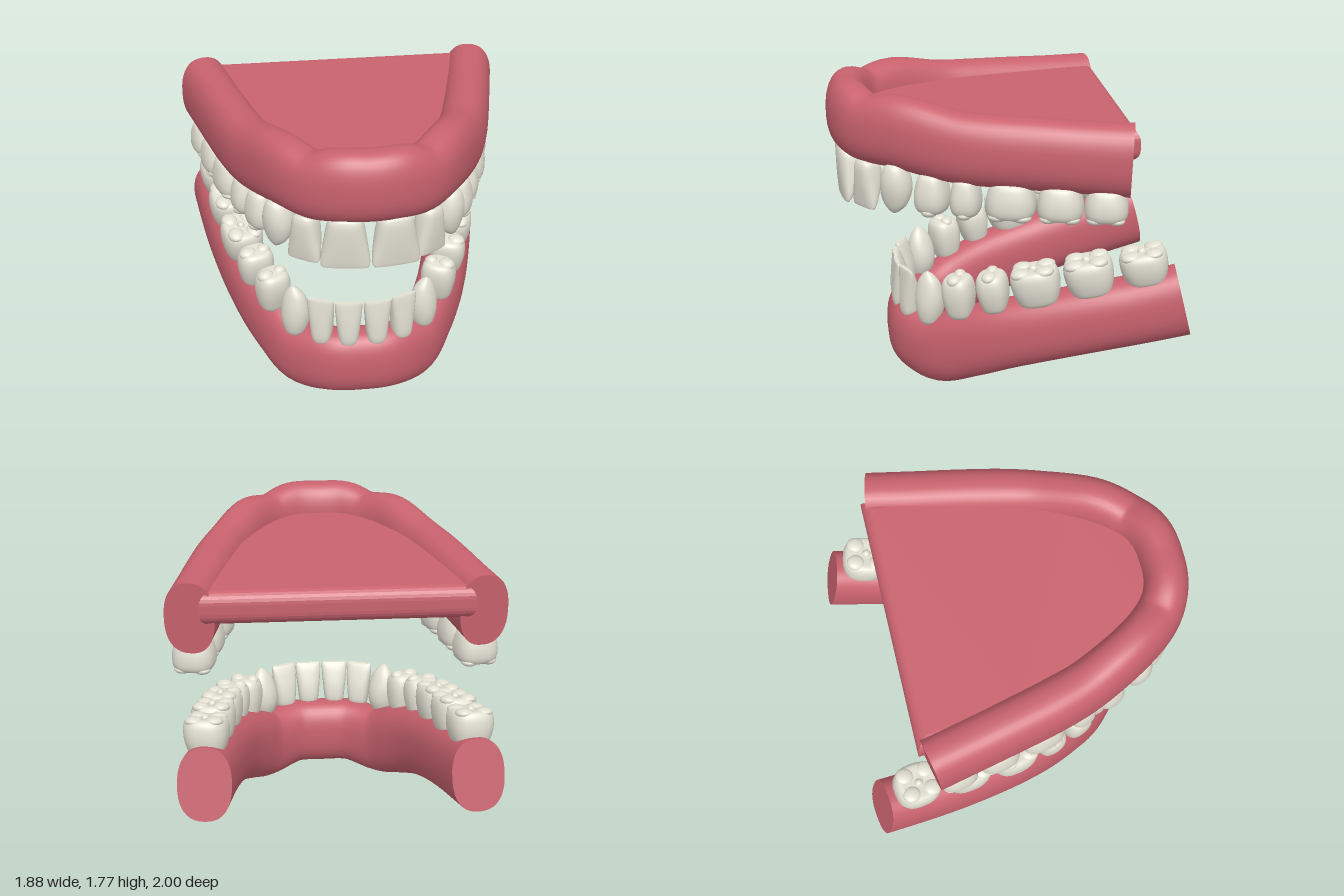
import * as THREE from 'three';

const gumMat = new THREE.MeshStandardMaterial({ color: 0xc8626e });
const toothMat = new THREE.MeshStandardMaterial({ color: 0xe2dfd2 });

// Skin over closed rings of points, with flat caps at both ends
function loft(rings) {
  const n = rings[0].length, pos = [], idx = [];
  rings.forEach(r => r.forEach(p => pos.push(p.x, p.y, p.z)));
  for (let i = 0; i < rings.length - 1; i++) {
    for (let j = 0; j < n; j++) {
      const a = i * n + j, b = i * n + (j + 1) % n;
      idx.push(a, b, a + n, b, b + n, a + n);
    }
  }
  [rings[0], rings[rings.length - 1]].forEach((r, end) => {
    const c = pos.length / 3;
    const mid = r.reduce((s, p) => s.add(p), new THREE.Vector3()).divideScalar(n);
    [mid, ...r].forEach(p => pos.push(p.x, p.y, p.z));
    for (let j = 0; j < n; j++) {
      const a = c + 1 + j, b = c + 1 + (j + 1) % n;
      if (end) idx.push(c, a, b); else idx.push(c, b, a);
    }
  });
  const g = new THREE.BufferGeometry();
  g.setAttribute('position', new THREE.Float32BufferAttribute(pos, 3));
  g.setIndex(idx);
  g.computeVertexNormals();
  return g;
}

// Point on a unit superellipse
function superellipse(a, e) {
  const c = Math.cos(a), s = Math.sin(a);
  return [Math.sign(c) * Math.abs(c) ** (2 / e), Math.sign(s) * Math.abs(s) ** (2 / e)];
}

// Horseshoe gum: half path as [x, y, z, half width, half height], mirrored
function gum(name, half) {
  const full = [...half.slice(1).reverse().map(([x, ...r]) => [-x, ...r]), ...half];
  const path = new THREE.CatmullRomCurve3(full.map(p => new THREE.Vector3(p[0], p[1], p[2])), false, 'catmullrom', 0.5);
  const size = new THREE.CatmullRomCurve3(full.map(p => new THREE.Vector3(p[3], p[4], 0)), false, 'catmullrom', 0.5);
  const rings = [], steps = 96, sides = 40;
  for (let i = 0; i <= steps; i++) {
    const c = path.getPoint(i / steps), t = path.getTangent(i / steps), r = size.getPoint(i / steps);
    const side = new THREE.Vector3(0, 1, 0).cross(t).normalize();
    const up = t.clone().cross(side);
    rings.push(Array.from({ length: sides }, (_, j) => {
      const [u, v] = superellipse(j / sides * Math.PI * 2, 2.4);
      return c.clone().addScaledVector(side, u * r.x).addScaledVector(up, v * r.y);
    }));
  }
  const m = new THREE.Mesh(loft(rings), gumMat);
  m.name = name;
  return m;
}

// Crown profiles from neck to biting edge: [height, width, depth]
const PROFILES = {
  incisor: [[0, .35, .4], [.06, .64, .75], [.2, .78, .98], [.5, .9, .88], [.8, 1, .58], [.95, 1, .36], [1, .93, .22]],
  canine: [[0, .4, .4], [.08, .7, .75], [.3, .95, 1], [.55, 1, .95], [.8, .78, .66], [.94, .4, .35], [1, .1, .1]],
  premolar: [[0, .6, .6], [.1, .78, .82], [.4, .97, .98], [.65, 1, 1], [.83, .9, .9], [.92, .68, .68], [.94, .3, .3]],
  molar: [[0, .65, .65], [.1, .82, .84], [.4, .97, .98], [.68, 1, 1], [.85, .93, .92], [.93, .76, .74], [.92, .3, .3]],
};
// Cusps: [x, z, radius] relative to crown width and depth
const CUSPS = {
  incisor: [], canine: [],
  premolar: [[0, .22, .25], [0, -.23, .2]],
  molar: [[-.24, .23, .2], [.24, .23, .2], [-.24, -.23, .2], [.24, -.23, .2], [0, .02, .1]],
};

// Crown grows along +y, its outer face looks along +z
function tooth(type, w, h, d) {
  const g = new THREE.Group();
  const curve = new THREE.CatmullRomCurve3(PROFILES[type].map(p => new THREE.Vector3(p[1], p[0], p[2])), false, 'catmullrom', 0.5);
  const blade = type === 'incisor' ? .3 : type === 'canine' ? .15 : 0;
  const rings = [];
  for (let i = 0; i <= 24; i++) {
    const p = curve.getPoint(i / 24), off = (1 - p.z) * d * blade;
    rings.push(Array.from({ length: 28 }, (_, j) => {
      const [u, v] = superellipse(j / 28 * Math.PI * 2, type === 'canine' ? 2.1 : 2.6);
      return new THREE.Vector3(v * p.x * w / 2, p.y * h, u * p.z * d / 2 + off);
    }));
  }
  const crown = new THREE.Mesh(loft(rings), toothMat);
  crown.name = 'crown';
  g.add(crown);
  for (const [x, z, r] of CUSPS[type]) {
    const cusp = new THREE.Mesh(new THREE.SphereGeometry(1, 18, 12), toothMat);
    cusp.name = 'cusp';
    cusp.scale.set(r * w, h * .13, r * d);
    cusp.position.set(x * w, h * .88, z * d);
    g.add(cusp);
  }
  return g;
}

// Teeth of one half arch: [type, x, neck y, z, yaw, pitch, width, height, depth]
function arch(name, rows, roll) {
  const g = new THREE.Group();
  g.name = name;
  for (const [type, x, y, z, yaw, pitch, w, h, d] of rows) {
    for (const s of [1, -1]) {
      const t = tooth(type, w, h, d);
      t.name = (s > 0 ? 'left ' : 'right ') + type;
      t.position.set(s * x, y, z);
      t.rotation.set(pitch, s * yaw, roll);
      g.add(t);
    }
  }
  return g;
}

export function createModel() {
  const model = new THREE.Group();

  // Upper jaw
  model.add(gum('upperGum', [
    [0, 1.56, .87, .125, .205], [.16, 1.56, .85, .125, .205], [.30, 1.53, .765, .13, .19],
    [.44, 1.54, .59, .13, .205], [.57, 1.49, .32, .135, .2], [.64, 1.475, .1, .14, .2],
    [.70, 1.465, -.15, .14, .2], [.75, 1.455, -.38, .14, .2], [.805, 1.445, -.635, .14, .205],
  ]));
  model.add(arch('upperTeeth', [
    ['incisor', .134, 1.38, .875, .15, 0, .265, .295, .14],
    ['incisor', .335, 1.36, .775, .6, 0, .19, .27, .14],
    ['canine', .47, 1.37, .625, .95, 0, .18, .28, .17],
    ['premolar', .535, 1.33, .43, 1.1, 0, .19, .24, .21],
    ['premolar', .605, 1.32, .25, 1.22, 0, .17, .23, .21],
    ['molar', .675, 1.31, .01, 1.3, 0, .275, .215, .24],
    ['molar', .735, 1.3, -.255, 1.34, 0, .255, .205, .24],
    ['molar', .785, 1.29, -.5, 1.35, 0, .24, .195, .24],
  ], Math.PI));

  // Palate: rounded plate between the two sides of the upper gum
  const edge = [[.68, -.62], [.66, -.38], [.60, -.1], [.53, .2], [.45, .45], [.35, .62], [.22, .74], [0, .8]];
  const outline = [...edge, ...edge.slice(0, -1).reverse().map(([x, z]) => [-x, z])];
  const plate = new THREE.ExtrudeGeometry(new THREE.Shape(outline.map(p => new THREE.Vector2(...p))),
    { depth: .05, bevelThickness: .07, bevelSize: .07, bevelSegments: 6 });
  plate.rotateX(Math.PI / 2);
  const palate = new THREE.Mesh(plate, gumMat);
  palate.name = 'palate';
  palate.position.y = 1.53;
  model.add(palate);

  // Lower jaw
  model.add(gum('lowerGum', [
    [0, .22, .54, .13, .2], [.18, .22, .52, .13, .2], [.35, .205, .39, .13, .205],
    [.46, .28, .22, .135, .21], [.55, .355, .03, .14, .205], [.62, .42, -.2, .145, .2],
    [.68, .49, -.48, .15, .2], [.72, .545, -.73, .15, .2], [.75, .6, -.952, .15, .205],
  ]));
  model.add(arch('lowerTeeth', [
    ['incisor', .082, .37, .585, .06, 0, .155, .285, .12],
    ['incisor', .232, .37, .545, .38, 0, .155, .29, .12],
    ['canine', .372, .37, .44, .8, 0, .17, .32, .16],
    ['premolar', .49, .45, .27, 1.12, .1, .18, .265, .2],
    ['premolar', .575, .515, .08, 1.25, .15, .18, .245, .21],
    ['molar', .64, .575, -.16, 1.33, .2, .28, .23, .24],
    ['molar', .69, .64, -.455, 1.38, .22, .28, .225, .25],
    ['molar', .73, .71, -.755, 1.38, .22, .27, .205, .25],
  ], 0));
  return model;
}
